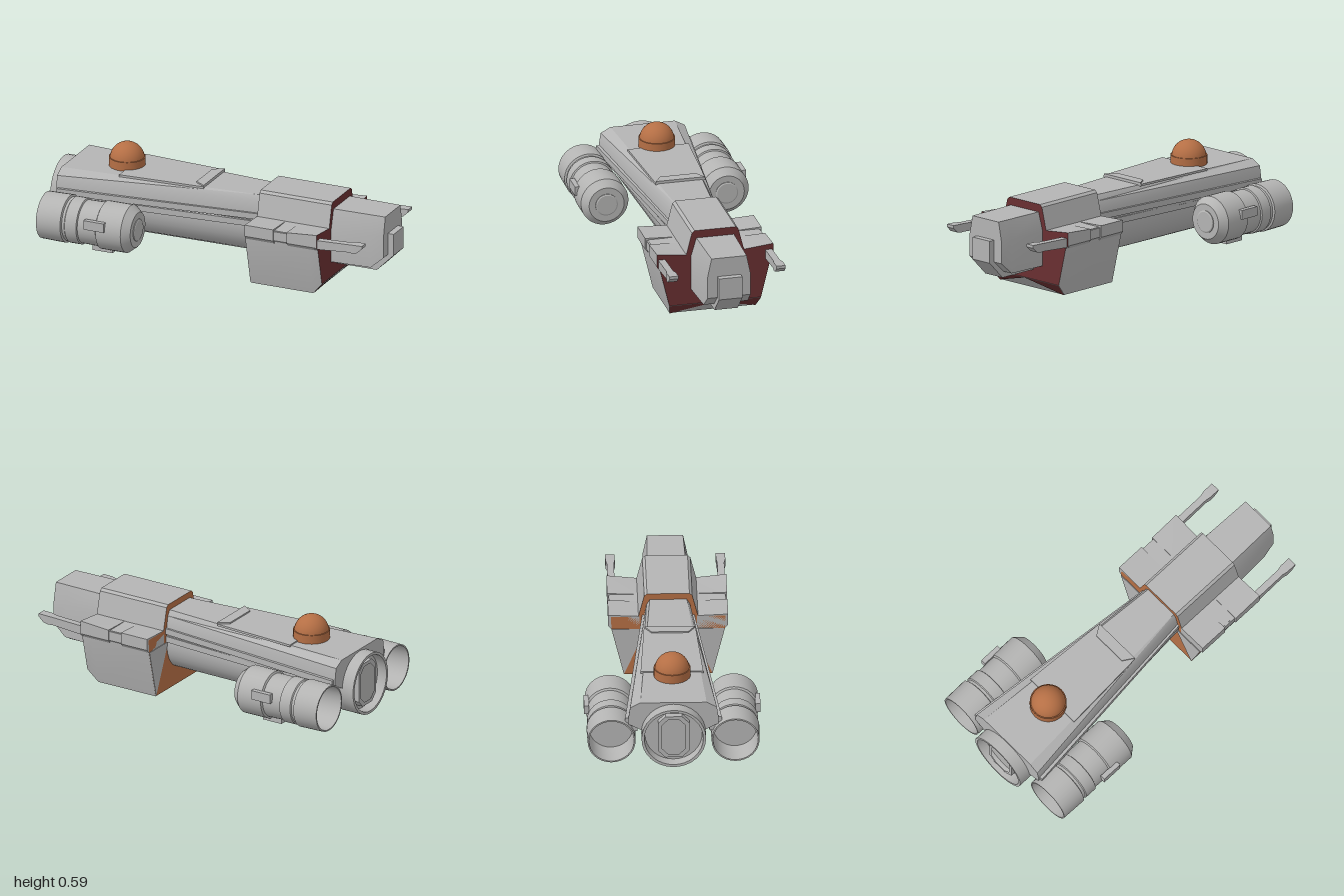
import * as THREE from 'three';
import { toCreasedNormals } from 'three/addons/utils/BufferGeometryUtils.js';

const mat = (name, color, side = THREE.FrontSide) => {
  const m = new THREE.MeshStandardMaterial({ color, side });
  m.name = name;
  return m;
};

// Completes a half outline of [z, y] points (top centre, down the +z side, to bottom centre).
const mirrored = (half) => [
  ...half,
  ...half.filter(p => p[0] > 0).reverse().map(([z, y]) => [-z, y]),
];
const flip = (pts) => pts.map(([z, y]) => [-z, y]).reverse();

// Joins cross-sections [x, points] along x. Groups: 0 sides, 1 rear cap, 2 front cap.
function loft(sections) {
  const pos = [], counts = [];
  const put = (x, p) => pos.push(x, p[1], p[0]);
  for (let s = 0; s < sections.length - 1; s++) {
    const [xa, a] = sections[s], [xb, b] = sections[s + 1];
    a.forEach((_, i) => {
      const j = (i + 1) % a.length;
      put(xa, a[i]); put(xa, a[j]); put(xb, b[i]);
      put(xb, b[i]); put(xa, a[j]); put(xb, b[j]);
    });
  }
  counts.push(pos.length / 3);
  [[sections[0], true], [sections[sections.length - 1], false]].forEach(([[x, pts], rear]) => {
    const tris = THREE.ShapeUtils.triangulateShape(pts.map(([z, y]) => new THREE.Vector2(-z, y)), []);
    tris.forEach(t => (rear ? [t[0], t[2], t[1]] : t).forEach(i => put(x, pts[i])));
    counts.push(pos.length / 3);
  });
  let g = new THREE.BufferGeometry();
  g.setAttribute('position', new THREE.Float32BufferAttribute(pos, 3));
  g = toCreasedNormals(g, 0.45);
  g.clearGroups();
  g.addGroup(0, counts[0], 0);
  g.addGroup(counts[0], counts[1] - counts[0], 1);
  g.addGroup(counts[1], counts[2] - counts[1], 2);
  return g;
}

// Turns a profile of [radius, x] points around the x axis.
function turned(profile, sides = 32) {
  const g = new THREE.LatheGeometry(profile.map(([r, x]) => new THREE.Vector2(r, x)), sides);
  g.rotateZ(-Math.PI / 2);
  return toCreasedNormals(g, 0.45);
}

export function createModel() {
  const root = new THREE.Group();
  root.name = 'spaceship';
  const grey = mat('hullGrey', 0xb4b4b4);
  const shell = mat('shellGrey', 0xb4b4b3, THREE.DoubleSide);
  const red = mat('darkRed', 0x692f31);
  const copper = mat('copper', 0xb56f45);

  const add = (name, geo, material, parent = root) => {
    const m = new THREE.Mesh(geo, material);
    m.name = name;
    parent.add(m);
    return m;
  };
  const addLoft = (name, sections, side = grey, rear = side, front = side, parent = root) =>
    add(name, loft(sections), [side, rear, front], parent);
  const box = (name, x0, x1, y0, y1, z0, z1, material = grey, parent = root) => {
    const m = add(name, new THREE.BoxGeometry(x1 - x0, y1 - y0, z1 - z0), material, parent);
    m.position.set((x0 + x1) / 2, (y0 + y1) / 2, (z0 + z1) / 2);
    return m;
  };

  // Rounded lower hull, narrowing towards the bow
  const belly = (w) => {
    const pts = [];
    for (let i = 0; i <= 16; i++) {
      const a = Math.PI * i / 16;
      pts.push([i % 16 ? w * Math.sin(a) : 0, 0.275 + 0.175 * Math.cos(a)]);
    }
    return mirrored(pts);
  };
  addLoft('lowerHull', [[-0.93, belly(0.175)], [0.23, belly(0.13)]]);

  // Faceted upper hull with side ledges
  addLoft('upperHull', [
    [-0.93, mirrored([[0, 0.46], [0.18, 0.46], [0.235, 0.43], [0.245, 0.365], [0.245, 0.33], [0.17, 0.29], [0, 0.29]])],
    [0.23, mirrored([[0, 0.46], [0.10, 0.46], [0.118, 0.43], [0.13, 0.365], [0.13, 0.33], [0.12, 0.29], [0, 0.29]])],
  ]);
  [1, -1].forEach(s => {
    const rail = (z, y) => {
      const p = [[z - 0.03, y + 0.017], [z, y + 0.017], [z, y - 0.017], [z - 0.03, y - 0.017]];
      return s > 0 ? p : flip(p);
    };
    addLoft('sideRail', [[-0.92, rail(0.262, 0.347)], [0.23, rail(0.142, 0.347)]]);
    addLoft('lowerRail', [[-0.92, rail(0.225, 0.3)], [0.23, rail(0.138, 0.3)]]);
  });

  // Raised roof plate and its front step
  const slab = (w, y0, y1) => mirrored([[0, y1], [w, y1], [w, y0], [0, y0]]);
  addLoft('roofPlate', [[-0.59, slab(0.17, 0.455, 0.467)], [-0.1, slab(0.14, 0.455, 0.467)]]);
  addLoft('roofStep', [[-0.16, slab(0.1, 0.46, 0.475)], [-0.1, slab(0.138, 0.46, 0.475)]]);

  // Dome
  const ring = add('domeRing', new THREE.CylinderGeometry(0.1, 0.1, 0.05, 32), copper);
  ring.position.set(-0.62, 0.485, 0);
  const dome = add('dome', new THREE.SphereGeometry(0.095, 32, 16, 0, Math.PI * 2, 0, Math.PI / 2), copper);
  dome.position.set(-0.62, 0.498, 0);

  // Tail nozzle with an inner frame
  const tail = add('tailNozzle', turned([[0.175, -0.92], [0.175, -1], [0.16, -1], [0.155, -0.945], [0, -0.945]]), shell);
  tail.position.y = 0.275;
  const slot = (w, h, r, path = new THREE.Shape()) => {
    path.moveTo(-w, -h + r);
    path.lineTo(-w, h - r).lineTo(-w + r, h).lineTo(w - r, h).lineTo(w, h - r);
    path.lineTo(w, -h + r).lineTo(w - r, -h).lineTo(-w + r, -h).lineTo(-w, -h + r);
    return path;
  };
  const frame = slot(0.085, 0.125, 0.04);
  frame.holes.push(slot(0.065, 0.105, 0.035, new THREE.Path()));
  const frameMesh = add('tailFrame', new THREE.ExtrudeGeometry(frame, { depth: 0.035, bevelEnabled: false }), grey);
  frameMesh.rotation.y = -Math.PI / 2;
  frameMesh.position.set(-0.945, 0.275, 0);

  // Forward block with red front, chamfered at the bottom
  const block = (zb, yb) => mirrored([
    [0, 0.495], [0.115, 0.495], [0.13, 0.482], [0.162, 0.355], [0.31, 0.355],
    [0.308, 0.28], [zb, yb], [0, yb],
  ]);
  addLoft('forwardBlock', [[0.23, block(0.24, 0)], [0.6, block(0.24, 0)], [0.66, block(0.256, 0.067)]], grey, copper, red);

  [1, -1].forEach(s => {
    const orient = (p) => (s > 0 ? p : flip(p));
    // Red corner of the chamfer
    const c = [[0.602, -0.002, 0.24], [0.662, 0.065, 0.256], [0.662, 0.065, 0]].map(([x, y, z]) => [x, y, z * s]);
    const corner = new THREE.BufferGeometry();
    corner.setAttribute('position', new THREE.Float32BufferAttribute((s > 0 ? c : [c[0], c[2], c[1]]).flat(), 3));
    corner.computeVertexNormals();
    // Keep the downward face outward
    if (corner.attributes.normal.getY(0) > 0) {
      const o = s > 0 ? [c[0], c[2], c[1]] : c;
      corner.setAttribute('position', new THREE.Float32BufferAttribute(o.flat(), 3));
      corner.computeVertexNormals();
    }
    add('chamferCorner', corner, red);

    // Grey panel on the rear face
    const panel = orient([[0.12, 0.28], [0.307, 0.28], [0.24, 0.003]]);
    addLoft('rearPanel', [[0.226, panel], [0.231, panel]]);

    // Shoulder made of three segments
    const shoulder = (d, y) => orient([[0.155, 0.357], [0.325 - d, y], [0.325 - d, 0.3], [0.308 - d, 0.28], [0.158, 0.28]]);
    [[0.23, 0.4, 0, 0.365, 0.365], [0.4, 0.48, 0.008, 0.352, 0.352], [0.48, 0.66, 0, 0.362, 0.375]]
      .forEach(([x0, x1, d, ya, yb]) =>
        addLoft('shoulder', [[x0, shoulder(d, ya)], [x1, shoulder(d, yb)]], grey, grey, x1 > 0.6 ? red : grey));

    // Forward prong
    const bar = (z0, z1, y0, y1) => orient([[z0, y1], [z1, y1], [z1, y0], [z0, y0]]);
    addLoft('prong', [
      [0.64, bar(0.28, 0.318, 0.29, 0.342)], [0.84, bar(0.28, 0.318, 0.305, 0.35)],
      [0.87, bar(0.274, 0.325, 0.306, 0.354)], [0.9, bar(0.274, 0.325, 0.312, 0.355)],
      [0.93, bar(0.274, 0.325, 0.34, 0.356)],
    ]);
  });

  // Nose and its narrow centre plate
  const nose = (wt, w, y0) => mirrored([[0, 0.452], [wt, 0.452], [w, 0.345], [w, y0], [0, y0]]);
  addLoft('nose', [[0.66, nose(0.105, 0.136, 0.155)], [0.89, nose(0.1, 0.124, 0.155)], [0.965, nose(0.098, 0.12, 0.222)]]);
  addLoft('noseKeel', [[0.66, slab(0.065, 0.122, 0.345)], [0.9, slab(0.065, 0.122, 0.345)], [1, slab(0.065, 0.222, 0.345)]]);

  // Engines
  [1, -1].forEach(s => {
    const engine = new THREE.Group();
    engine.name = 'engine';
    engine.position.set(0, 0.236, 0.336 * s);
    root.add(engine);
    add('engineBody', turned([
      [0, -0.8], [0.118, -0.8], [0.122, -0.95], [0.13, -0.95], [0.133, -0.805], [0.122, -0.8], [0.122, -0.785],
      [0.128, -0.78], [0.128, -0.712], [0.12, -0.708], [0.122, -0.6], [0.133, -0.594], [0.133, -0.445],
      [0.098, -0.402], [0, -0.402],
    ]), shell, engine);
    add('engineCap', turned([[0.062, -0.41], [0.062, -0.398], [0.055, -0.394], [0, -0.394]]), shell, engine);
    // Outer and lower cooling plates
    box('outerPlate', -0.66, -0.54, 0.01, 0.062, s * 0.128 - 0.014, s * 0.128 + 0.014, grey, engine);
    box('lowerPlate', -0.66, -0.54, -0.149, -0.115, -0.026, 0.026, grey, engine);
  });

  return root;
}
